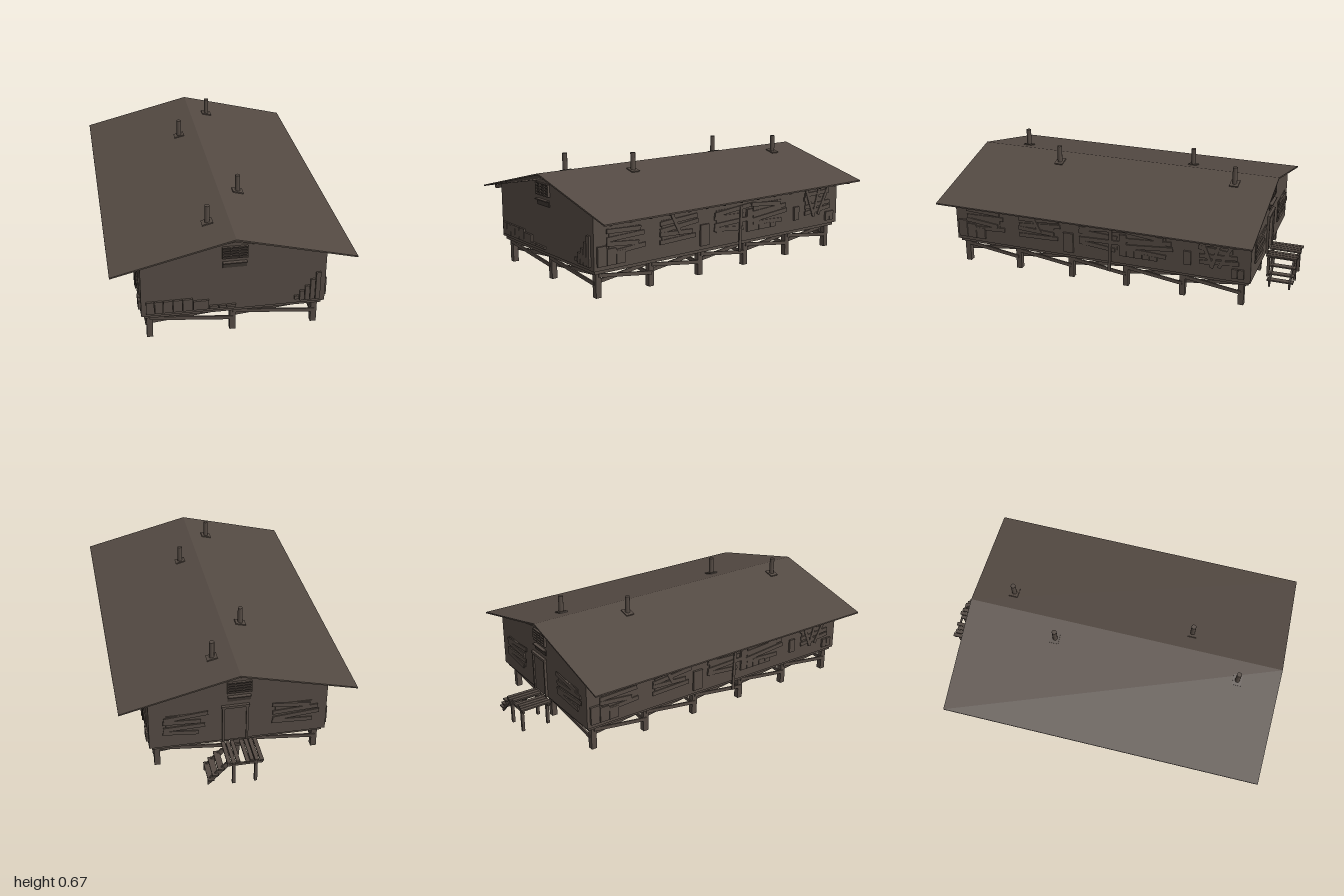
import * as THREE from 'three';

export function createModel() {
  const model = new THREE.Group();
  const wood = new THREE.MeshStandardMaterial({ color: 0x544a43 });
  wood.name = 'weathered wood';
  const dark = new THREE.MeshStandardMaterial({ color: 0x3a332e });
  dark.name = 'dark vent';

  const add = (parent, name, geo, x = 0, y = 0, z = 0, rot = 0, mat = wood) => {
    const m = new THREE.Mesh(geo, mat);
    m.name = name;
    m.position.set(x, y, z);
    m.rotation.z = rot;
    parent.add(m);
    return m;
  };
  const box = (parent, name, w, h, d, x, y, z, rot, mat) =>
    add(parent, name, new THREE.BoxGeometry(w, h, d), x, y, z, rot, mat);
  const group = (name, parent = model) => {
    const g = new THREE.Group();
    g.name = name;
    parent.add(g);
    return g;
  };
  // polygon in x/y, extruded from z0 to z1
  const prism = (parent, name, pts, z0, z1) => {
    const s = new THREE.Shape(pts.map(([x, y]) => new THREE.Vector2(x, y)));
    const g = new THREE.ExtrudeGeometry(s, { depth: z1 - z0, bevelEnabled: false });
    return add(parent, name, g, 0, 0, z0);
  };
  const beam = (parent, name, a, b, w, h) => {
    const A = new THREE.Vector3(...a), B = new THREE.Vector3(...b);
    const m = add(parent, name, new THREE.BoxGeometry(w, h, A.distanceTo(B)));
    m.position.copy(A).lerp(B, 0.5);
    m.lookAt(B);
    return m;
  };

  // Walls, floor rim and roof
  prism(model, 'walls', [[-0.485, 0.157], [0.485, 0.157], [0.485, 0.464], [0, 0.562], [-0.485, 0.464]], -0.81, 0.965);
  box(model, 'floorRim', 0.94, 0.022, 1.75, 0, 0.148, 0.078);
  prism(model, 'roof', [[-0.64, 0.429], [0, 0.588], [0.64, 0.429], [0.64, 0.437], [0, 0.597], [-0.64, 0.437]], -0.845, 1);

  // Rafter tails under both eaves
  const tails = group('rafterTails');
  for (let i = 0; i < 15; i++) {
    const z = -0.79 + i * 0.123;
    prism(tails, 'rafterTail', [[0.48, 0.44], [0.605, 0.415], [0.61, 0.434], [0.48, 0.466]], z, z + 0.012);
    prism(tails, 'rafterTail', [[-0.48, 0.466], [-0.61, 0.434], [-0.605, 0.415], [-0.48, 0.44]], z, z + 0.012);
  }

  // Stove pipes with square flashing
  for (const [x, z] of [[0.11, -0.615], [-0.11, -0.31], [0.11, 0.455], [-0.11, 0.762]]) {
    const g = group('stovePipe');
    add(g, 'pipe', new THREE.CylinderGeometry(0.014, 0.014, 0.12, 12), x, 0.61, z);
    box(g, 'flashing', 0.06, 0.012, 0.05, x, 0.57, z, -Math.sign(x) * 0.245);
  }

  // Stilts with flat cross bracing
  const base = group('stilts');
  const xs = [-0.44, 0, 0.44];
  const zs = [0.92, 0.585, 0.25, -0.085, -0.42, -0.755];
  for (const z of zs) for (const x of xs) box(base, 'post', 0.032, 0.137, 0.032, x, 0.0725, z);
  const cross = (x0, z0, x1, z1, ox, oz) => {
    beam(base, 'brace', [x0 + ox, 0.125, z0 + oz], [x1 + ox, 0.08, z1 + oz], 0.009, 0.02);
    beam(base, 'brace', [x0 - ox, 0.08, z0 - oz], [x1 - ox, 0.125, z1 - oz], 0.009, 0.02);
  };
  for (const z of zs) for (let i = 0; i < 2; i++) cross(xs[i], z, xs[i + 1], z, 0, 0.017);
  for (const x of [-0.44, 0.44])
    for (let i = 0; i < 5; i++) cross(x, zs[i], x, zs[i + 1], 0.017, 0);

  // Window frame nailed over with crooked boards (in a wall's own plane)
  const tilts = [0.06, -0.1, 0.03, -0.05, 0.09];
  const boarded = (parent, u, v, w, seed, steep = 0) => {
    const g = group('boardedWindow', parent);
    box(g, 'windowPanel', w * 0.78, 0.125, 0.006, u, v, 0.002);
    for (let i = 0; i < 4; i++) {
      const t = tilts[(i + seed) % 5];
      box(g, 'board', w * (0.9 + t), 0.024, 0.007, u + t * 0.15, v - 0.052 + i * 0.035, 0.007 + (i % 2) * 0.002, t);
    }
    if (steep) for (let i = 0; i < 3; i++)
      box(g, 'steepBoard', 0.2, 0.02, 0.006, u - 0.06 + i * 0.06, v + 0.01, 0.012, [1.95, 1.3, 1.1][i]);
  };
  const plate = (parent, name, u0, u1, v0, v1, d = 0.012) =>
    box(parent, name, u1 - u0, v1 - v0, d, (u0 + u1) / 2, (v0 + v1) / 2, d / 2);

  // Long sides, the second one turned half round
  for (const s of [1, -1]) {
    const side = group(s > 0 ? 'leftSideDetails' : 'rightSideDetails');
    side.position.set(s * 0.485, 0, 0.078);
    side.rotation.y = s * Math.PI / 2;
    boarded(side, -0.7, 0.3, 0.25, 0);
    boarded(side, -0.36, 0.3, 0.26, 2, 0);
    box(side, 'leaningBoard', 0.17, 0.02, 0.006, -0.38, 0.35, 0.012, -1.1);
    boarded(side, 0.02, 0.3, 0.27, 1);
    boarded(side, 0.3, 0.3, 0.28, 3);
    boarded(side, 0.7, 0.31, 0.22, 4, 1);
    plate(side, 'hatch', -0.2, -0.14, 0.18, 0.3);
    plate(side, 'smallHatch', 0.515, 0.555, 0.22, 0.3);
    box(side, 'looseBoard', 0.018, 0.26, 0.007, 0.086, 0.235, 0.014, -0.04);
    // patch panels low on the wall
    for (let i = 0; i < 3; i++) plate(side, 'patch', -0.87 + i * 0.058, -0.816 + i * 0.058, 0.18, 0.285 - i * 0.018);
    for (let i = 0; i < 5; i++) plate(side, 'patch', 0.14 + i * 0.045, 0.182 + i * 0.045, 0.21, [0.34, 0.27, 0.26, 0.24, 0.235][i]);
    for (let i = 0; i < 2; i++) plate(side, 'patch', 0.785 + i * 0.035, 0.817 + i * 0.035, 0.18, 0.235);
  }

  // Gable vent with frame, louvres and a little hood
  const gableVent = (parent) => {
    const g = group('gableVent', parent);
    box(g, 'ventBack', 0.13, 0.066, 0.004, 0, 0.507, 0.002, 0, dark);
    for (const y of [0.476, 0.491, 0.507, 0.522, 0.538]) box(g, 'louvre', 0.132, 0.006, 0.012, 0, y, 0.006);
    for (const x of [-0.064, -0.022, 0.022, 0.064]) box(g, 'ventBar', 0.005, 0.066, 0.014, x, 0.507, 0.007);
    box(g, 'hood', 0.125, 0.006, 0.02, 0, 0.449, 0.01);
    box(g, 'hoodShade', 0.125, 0.03, 0.005, 0, 0.432, 0.0025, 0, dark);
  };

  // Front wall
  const front = group('frontDetails');
  front.position.z = 0.965;
  gableVent(front);
  const edges = [-0.46, -0.415, -0.37, -0.32, -0.27, -0.215, -0.13, -0.08, -0.04, 0.012];
  const tops = [0.247, 0.247, 0.246, 0.246, 0.246, 0.23, 0.192, 0.19, 0.19];
  tops.forEach((t, i) => plate(front, 'patch', edges[i], edges[i + 1] - 0.003, 0.176, t));
  [0.205, 0.235, 0.262, 0.3, 0.34].forEach((t, i) =>
    plate(front, 'steppedPatch', 0.32 + i * 0.028, 0.345 + i * 0.028, i ? 0.176 : 0.185, t));

  // Back wall
  const back = group('backDetails');
  back.position.z = -0.81;
  back.rotation.y = Math.PI;
  gableVent(back);
  boarded(back, -0.3, 0.3, 0.24, 1);
  boarded(back, 0.3, 0.3, 0.26, 3);
  plate(back, 'door', -0.08, 0.04, 0.16, 0.375, 0.006);
  for (const u of [-0.085, 0.045]) box(back, 'doorJamb', 0.012, 0.225, 0.014, u, 0.27, 0.007);
  box(back, 'doorLintel', 0.15, 0.014, 0.016, -0.02, 0.385, 0.008);

  // Back porch: legs, rails, worn deck planks
  const porch = group('porch');
  for (const x of [-0.06, 0.06]) {
    for (const z of [-0.825, -0.98]) box(porch, 'porchLeg', 0.016, 0.138, 0.016, x, 0.069, z);
    box(porch, 'deckRail', 0.012, 0.016, 0.17, x, 0.13, -0.905);
  }
  for (const z of [-0.83, -0.985]) box(porch, 'deckBeam', 0.19, 0.014, 0.01, 0, 0.132, z);
  for (let i = 0; i < 8; i++) {
    if (i === 4) continue; // missing plank
    const len = 0.185 - (i % 3) * 0.006;
    box(porch, 'deckPlank', 0.021, 0.009, len, -0.088 + i * 0.025, 0.147, -0.814 - len / 2);
  }

  // Side steps
  const steps = group('steps');
  for (const z of [-0.865, -0.98])
    prism(steps, 'stringer', [[0.09, 0.14], [0.09, 0.115], [0.195, 0.005], [0.2, 0.005], [0.2, 0.04], [0.105, 0.14]], z, z + 0.01);
  [[0.13, 0.112], [0.16, 0.075], [0.183, 0.045]].forEach(([x, y]) =>
    box(steps, 'tread', 0.034, 0.008, 0.15, x, y, -0.92));

  return model;
}
